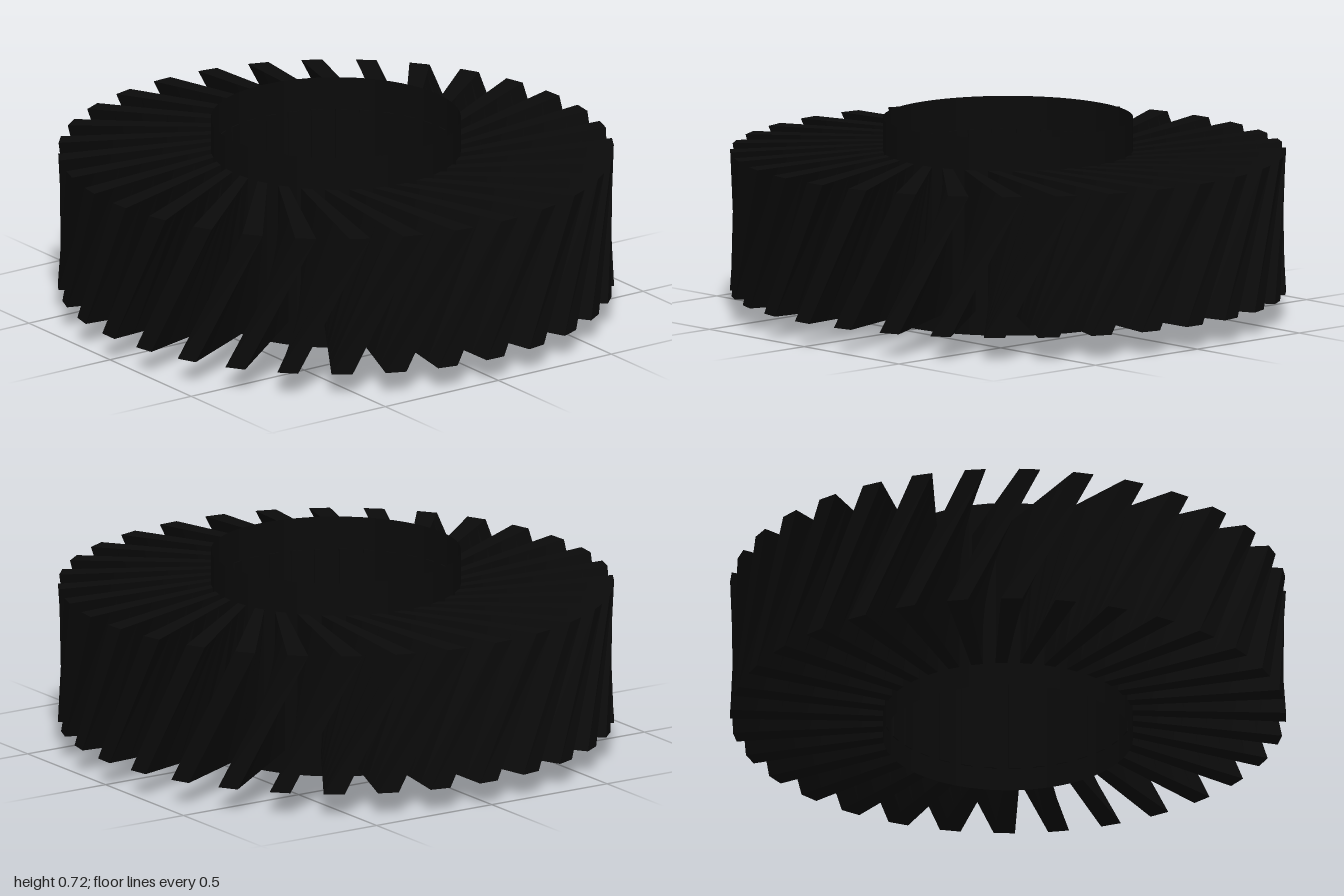
import * as THREE from 'three';

const BLADES = 32;
const HUB_RADIUS = 0.45;
const HUB_HEIGHT = 0.72;
const BLADE_START = 0.445;
const BLADE_END = 0.999;
const BLADE_BOTTOM = 0.086;
const BLADE_TOP = 0.6;
const ROOT_WIDTH = 0.043;
const TIP_WIDTH = 0.076;
const ROOT_ANGLE = -0.08;
const TIP_ANGLE_BOTTOM = -0.012; // angle of the outer edge at its lower end
const TIP_ANGLE_TOP = 0.25; // and at its upper end

// Point at a radius and sideways offset, turned about the wheel's axis
function turned(side, y, radius, angle) {
  return new THREE.Vector3(side, y, radius).applyAxisAngle(new THREE.Vector3(0, 1, 0), angle);
}

// One blade: upright at the hub, its top swept sideways towards the rim
function bladeGeometry() {
  const geometry = new THREE.BoxGeometry(1, 1, 1, 1, 1, 6);
  const p = geometry.attributes.position;
  for (let i = 0; i < p.count; i++) {
    const side = p.getX(i);
    const h = p.getY(i) + 0.5;
    const t = p.getZ(i) + 0.5;
    const y = THREE.MathUtils.lerp(BLADE_BOTTOM, BLADE_TOP, h);
    const tipAngle = THREE.MathUtils.lerp(TIP_ANGLE_BOTTOM, TIP_ANGLE_TOP, h);
    const root = turned(side * ROOT_WIDTH, y, BLADE_START, ROOT_ANGLE);
    const tip = turned(side * TIP_WIDTH, y, BLADE_END, tipAngle);
    p.setXYZ(i, ...root.lerp(tip, t));
  }
  geometry.computeVertexNormals();
  return geometry;
}

export function createModel() {
  const model = new THREE.Group();
  model.name = 'bladedWheel';

  // Thin open hub ring
  const hub = new THREE.Mesh(
    new THREE.CylinderGeometry(HUB_RADIUS, HUB_RADIUS, HUB_HEIGHT, 64, 1, true),
    new THREE.MeshStandardMaterial({ color: 0x0a0a0a, side: THREE.DoubleSide })
  );
  hub.name = 'hubRing';
  hub.position.y = HUB_HEIGHT / 2;
  model.add(hub);

  // Ring of twisted blades
  const blades = new THREE.Group();
  blades.name = 'blades';
  const geometry = bladeGeometry();
  const material = new THREE.MeshStandardMaterial({ color: 0x0a0a0a, flatShading: true });
  for (let i = 0; i < BLADES; i++) {
    const blade = new THREE.Mesh(geometry, material);
    blade.name = 'blade';
    blade.rotation.y = (i / BLADES) * Math.PI * 2;
    blades.add(blade);
  }
  model.add(blades);

  return model;
}
